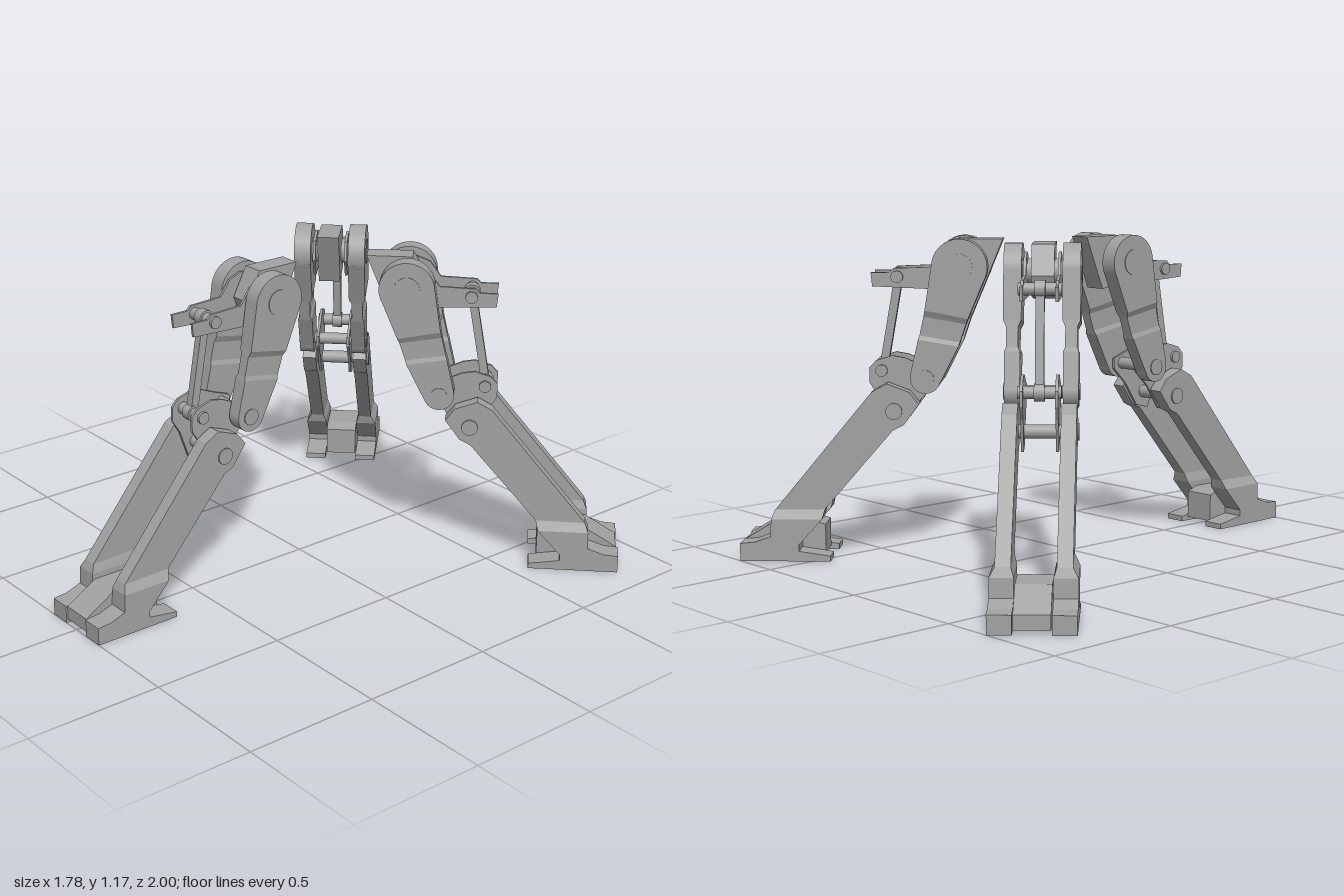
import * as THREE from 'three';

const grey = new THREE.MeshStandardMaterial({ color: 0xa2a2a2 });
grey.name = 'metal grey';

function add(parent, name, geometry) {
  const mesh = new THREE.Mesh(geometry, grey);
  mesh.name = name;
  parent.add(mesh);
  return mesh;
}

// Side profile of [z, y] points, extruded from x0 to x1
function plate(points, x0, x1) {
  const shape = new THREE.Shape(points.map(([z, y]) => new THREE.Vector2(z, y)));
  const g = new THREE.ExtrudeGeometry(shape, { depth: x1 - x0, bevelEnabled: false });
  return g.rotateY(-Math.PI / 2).translate(x1, 0, 0);
}

// Cylinder lying along x from x0 to x1, centred on (z, y)
function pin(z, y, r, x0, x1, sides = 20) {
  const g = new THREE.CylinderGeometry(r, r, x1 - x0, sides);
  return g.rotateZ(Math.PI / 2).translate((x0 + x1) / 2, y, z);
}

// Four-cornered beam; each row is [zBack, yBack, zFront, yFront, x0, x1], from top to bottom
function beam(rows) {
  const loops = rows.map(([zb, yb, zf, yf, x0, x1]) => [
    [x0, yb, zb], [x0, yf, zf], [x1, yf, zf], [x1, yb, zb]]);
  const pos = [];
  const quad = (a, b, c, d) => pos.push(...a, ...b, ...c, ...a, ...c, ...d);
  for (let i = 0; i < loops.length - 1; i++) {
    for (let j = 0; j < 4; j++) {
      const k = (j + 1) % 4;
      quad(loops[i][j], loops[i + 1][j], loops[i + 1][k], loops[i][k]);
    }
  }
  quad(...loops[0]);
  quad(...loops[loops.length - 1].slice().reverse());
  const g = new THREE.BufferGeometry();
  g.setAttribute('position', new THREE.Float32BufferAttribute(pos, 3));
  g.computeVertexNormals();
  return g;
}

// Pivots as [z, y]
const hip = [0.195, 1.07], knee = [0.32, 0.67], shinTop = [0.435, 0.55];
const linkTop = [0.425, 1.03], linkEnd = [0.485, 0.69];

// Everything that comes in pairs, from x = 0 outwards
function sideParts() {
  const s = new THREE.Group();
  // Upper arm: round head, waisted beam, round lower eye
  add(s, 'upperArmHead', pin(...hip, 0.1, 0.07, 0.132, 32));
  add(s, 'upperArm', beam([
    [0.1, 1.04, 0.294, 1.08, 0.07, 0.132],
    [0.165, 0.885, 0.32, 0.915, 0.07, 0.132],
    [0.173, 0.865, 0.325, 0.892, 0.08, 0.121],
    [0.195, 0.8, 0.34, 0.825, 0.08, 0.121],
    [0.2, 0.785, 0.345, 0.81, 0.073, 0.127],
    [0.266, 0.655, 0.374, 0.685, 0.073, 0.127]]));
  add(s, 'upperArmEye', pin(...knee, 0.055, 0.073, 0.127, 24));
  add(s, 'hipCap', pin(...hip, 0.047, 0.13, 0.135, 24));
  add(s, 'kneeCap', pin(...knee, 0.03, 0.125, 0.131));
  add(s, 'shinCap', pin(...shinTop, 0.03, 0.123, 0.131));
  // Thin plates carrying the link pins
  add(s, 'bracketPlate', plate([
    [0.17, 0.98], [0.515, 0.995], [0.52, 1.045], [0.455, 1.045], [0.44, 1.06],
    [0.31, 1.065], [0.27, 1.12], [0.22, 1.14], [0.14, 1.12], [0.12, 1.05]], 0.054, 0.064));
  add(s, 'kneePlate', plate([
    [0.4, 0.5], [0.46, 0.485], [0.5, 0.6], [0.53, 0.647], [0.53, 0.7], [0.505, 0.727],
    [0.445, 0.745], [0.4, 0.737], [0.35, 0.715], [0.28, 0.69], [0.28, 0.65], [0.34, 0.59]], 0.054, 0.064));
  // Lower leg: knee end, shin widening into the ankle, sole
  add(s, 'shinHead', plate([
    [0.345, 0.575], [0.4, 0.5], [0.44, 0.48], [0.515, 0.62], [0.46, 0.65], [0.38, 0.62]], 0.073, 0.125));
  add(s, 'shin', beam([
    [0.44, 0.48, 0.515, 0.62, 0.073, 0.125],
    [0.69, 0.19, 0.872, 0.187, 0.073, 0.125],
    [0.7, 0.155, 0.885, 0.155, 0.063, 0.143],
    [0.785, 0.06, 0.89, 0.06, 0.063, 0.143]]));
  add(s, 'sole', plate([
    [0.67, 0], [1, 0], [1, 0.065], [0.945, 0.07], [0.89, 0.09],
    [0.785, 0.065], [0.785, 0.037], [0.67, 0.02]], 0.063, 0.143));
  return s;
}

// Mirror a geometry across x and keep its faces pointing outwards
function mirrorX(geometry) {
  const g = geometry.index ? geometry.toNonIndexed() : geometry.clone();
  g.scale(-1, 1, 1);
  for (const key of ['position', 'normal']) {
    const a = g.attributes[key].array;
    for (let i = 0; i < a.length; i += 9) {
      for (let j = 0; j < 3; j++) [a[i + 3 + j], a[i + 6 + j]] = [a[i + 6 + j], a[i + 3 + j]];
    }
  }
  const n = g.attributes.normal;
  if (geometry.type === 'BufferGeometry' || geometry.type === 'ExtrudeGeometry') g.computeVertexNormals();
  n.needsUpdate = true;
  return g;
}

function makeLeg(name) {
  const leg = new THREE.Group();
  leg.name = name;
  const left = sideParts();
  left.name = 'leftSide';
  const right = new THREE.Group();
  right.name = 'rightSide';
  left.children.forEach((m) => add(right, m.name, mirrorX(m.geometry)));
  leg.add(left, right);

  // Mounting block at the top
  add(leg, 'mountBlock', plate([
    [0.125, 0.97], [0.24, 0.99], [0.265, 1.06], [0.21, 1.165], [0.045, 1.165]], -0.04, 0.04));
  // Cross pins
  add(leg, 'hipPin', pin(...hip, 0.045, -0.1, 0.1));
  add(leg, 'kneePin', pin(...knee, 0.022, -0.1, 0.1));
  add(leg, 'shinPin', pin(...shinTop, 0.024, -0.1, 0.1));
  add(leg, 'upperLinkPin', pin(...linkTop, 0.022, -0.074, 0.074));
  add(leg, 'lowerLinkPin', pin(...linkEnd, 0.022, -0.074, 0.074));
  // Link rod with an eye at each end
  const [za, ya] = linkTop, [zb, yb] = linkEnd;
  const rod = new THREE.BoxGeometry(0.03, Math.hypot(zb - za, yb - ya), 0.03);
  rod.rotateX(-Math.atan2(zb - za, ya - yb)).translate(0, (ya + yb) / 2, (za + zb) / 2);
  add(leg, 'linkRod', rod);
  add(leg, 'linkUpperEye', pin(...linkTop, 0.03, -0.018, 0.018));
  add(leg, 'linkLowerEye', pin(...linkEnd, 0.03, -0.018, 0.018));
  // Middle of the foot, between the soles
  add(leg, 'footCentre', plate([
    [0.7, 0.015], [0.995, 0.015], [0.995, 0.065], [0.88, 0.135],
    [0.75, 0.135], [0.7, 0.12]], -0.06, 0.06));
  add(leg, 'anklePin', pin(0.83, 0.09, 0.03, -0.1, 0.1));
  return leg;
}

export function createModel() {
  const model = new THREE.Group();
  model.name = 'landingLegs';
  model.add(makeLeg('frontLeg'));
  for (const s of [1, -1]) {
    const leg = makeLeg(s > 0 ? 'rearLeftLeg' : 'rearRightLeg');
    leg.position.set(s * 0.08, 0, -0.193);
    leg.rotation.y = s * Math.PI * 0.75;
    model.add(leg);
  }
  return model;
}
